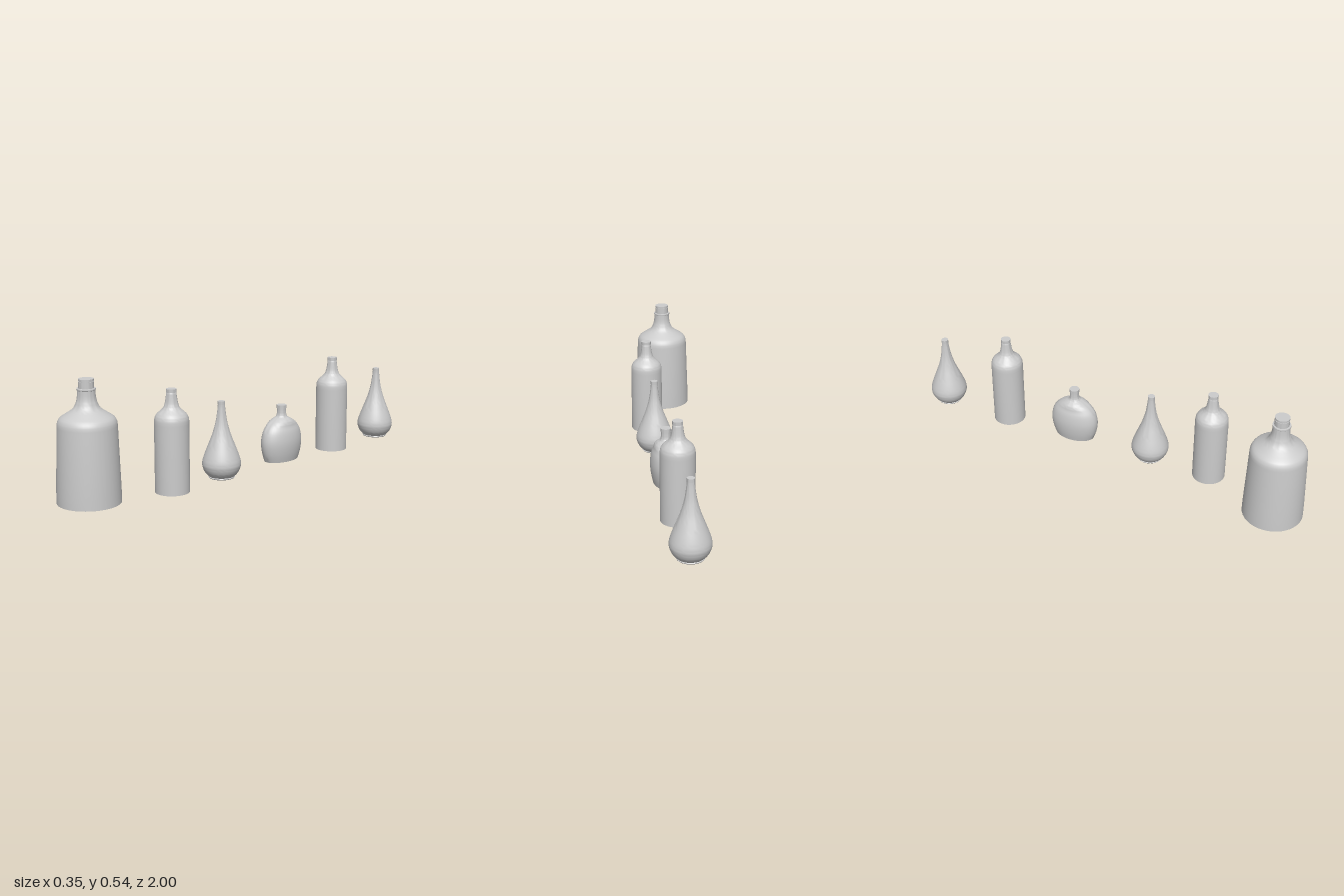
import * as THREE from 'three';
import { toCreasedNormals } from 'three/addons/utils/BufferGeometryUtils.js';

const material = new THREE.MeshStandardMaterial({ color: 0xcccccc });

const vectors = (pairs) => pairs.map(([r, y]) => new THREE.Vector2(r, y));

// Smooth run of [radius, height] points
const smooth = (pairs, n) =>
  new THREE.SplineCurve(vectors(pairs)).getPoints(n).map((p) => [p.x, p.y]);

// Closed solid of revolution; squash(y) narrows it along x
function turned(name, profile, squash) {
  const first = profile[0], last = profile[profile.length - 1];
  const points = vectors([[0, first[1]], ...profile, [0, last[1]]]);
  const geometry = new THREE.LatheGeometry(points, 40);
  if (squash) {
    const pos = geometry.attributes.position;
    for (let i = 0; i < pos.count; i++) pos.setX(i, pos.getX(i) * squash(pos.getY(i)));
  }
  geometry.deleteAttribute('normal');
  geometry.deleteAttribute('uv');
  const mesh = new THREE.Mesh(toCreasedNormals(geometry, 0.6), material);
  mesh.name = name;
  return mesh;
}

function grouped(name, ...parts) {
  const group = new THREE.Group();
  group.name = name;
  group.add(...parts);
  return group;
}

// Wide jug with a collar ring and a screw cap
function jug() {
  return grouped('jug',
    turned('jugBody', [
      [0.138, 0.004], [0.1375, 0.05], [0.1355, 0.11], [0.1275, 0.335],
      ...smooth([[0.126, 0.35], [0.116, 0.37], [0.085, 0.391], [0.06, 0.409],
        [0.047, 0.43], [0.04, 0.457], [0.038, 0.488]], 18),
    ]),
    turned('jugCollar', [[0.037, 0.487], [0.04, 0.489], [0.041, 0.492], [0.04, 0.496], [0.033, 0.497]]),
    turned('jugNeck', [[0.033, 0.49], [0.033, 0.525], [0.03, 0.525], [0.03, 0.528]]),
    turned('jugCap', [[0.033, 0.528], [0.033, 0.536]]));
}

// Straight bottle with sloped shoulders
function bottle() {
  return grouped('bottle',
    turned('bottleBody', [
      [0.0765, 0], [0.0765, 0.305],
      ...smooth([[0.076, 0.32], [0.073, 0.335], [0.064, 0.35], [0.046, 0.366],
        [0.035, 0.379], [0.029, 0.396], [0.025, 0.419], [0.022, 0.442]], 18),
      [0.02, 0.446],
    ]),
    turned('bottleCap', [[0.023, 0.444], [0.023, 0.459]]));
}

// Teardrop vase on a small foot
function vase() {
  return grouped('vase',
    turned('vaseBody', smooth([[0.058, 0.011], [0.076, 0.03], [0.0875, 0.058], [0.087, 0.083],
      [0.077, 0.116], [0.06, 0.16], [0.041, 0.21], [0.026, 0.265], [0.018, 0.32], [0.016, 0.345]], 36)),
    turned('vaseFoot', [[0.058, 0.004], [0.061, 0.008], [0.058, 0.013]]),
    turned('vaseLip', [[0.0165, 0.343], [0.0165, 0.358]]));
}

// Flattened oval flask with a round neck
function flask() {
  const squash = (y) => 0.605 + 0.395 * THREE.MathUtils.smoothstep(y, 0.175, 0.235);
  return grouped('flask',
    turned('flaskBody', smooth([[0.098, 0.013], [0.111, 0.05], [0.118, 0.09], [0.116, 0.125],
      [0.104, 0.162], [0.08, 0.191], [0.048, 0.211], [0.028, 0.222], [0.022, 0.238], [0.021, 0.262]], 32), squash),
    turned('flaskCap', [[0.0235, 0.262], [0.0235, 0.278]]));
}

export function createModel() {
  const model = new THREE.Group();
  model.name = 'bottleRow';
  // Row along z: maker, x, z
  const row = [
    [jug, -0.04, 0.862], [bottle, 0.087, 0.503], [vase, 0.087, 0.202],
    [flask, 0.087, -0.197], [bottle, 0.087, -0.562], [vase, 0.087, -0.912],
  ];
  for (const [make, x, z] of row) {
    const item = make();
    item.position.set(x, 0, z);
    model.add(item);
  }
  return model;
}
